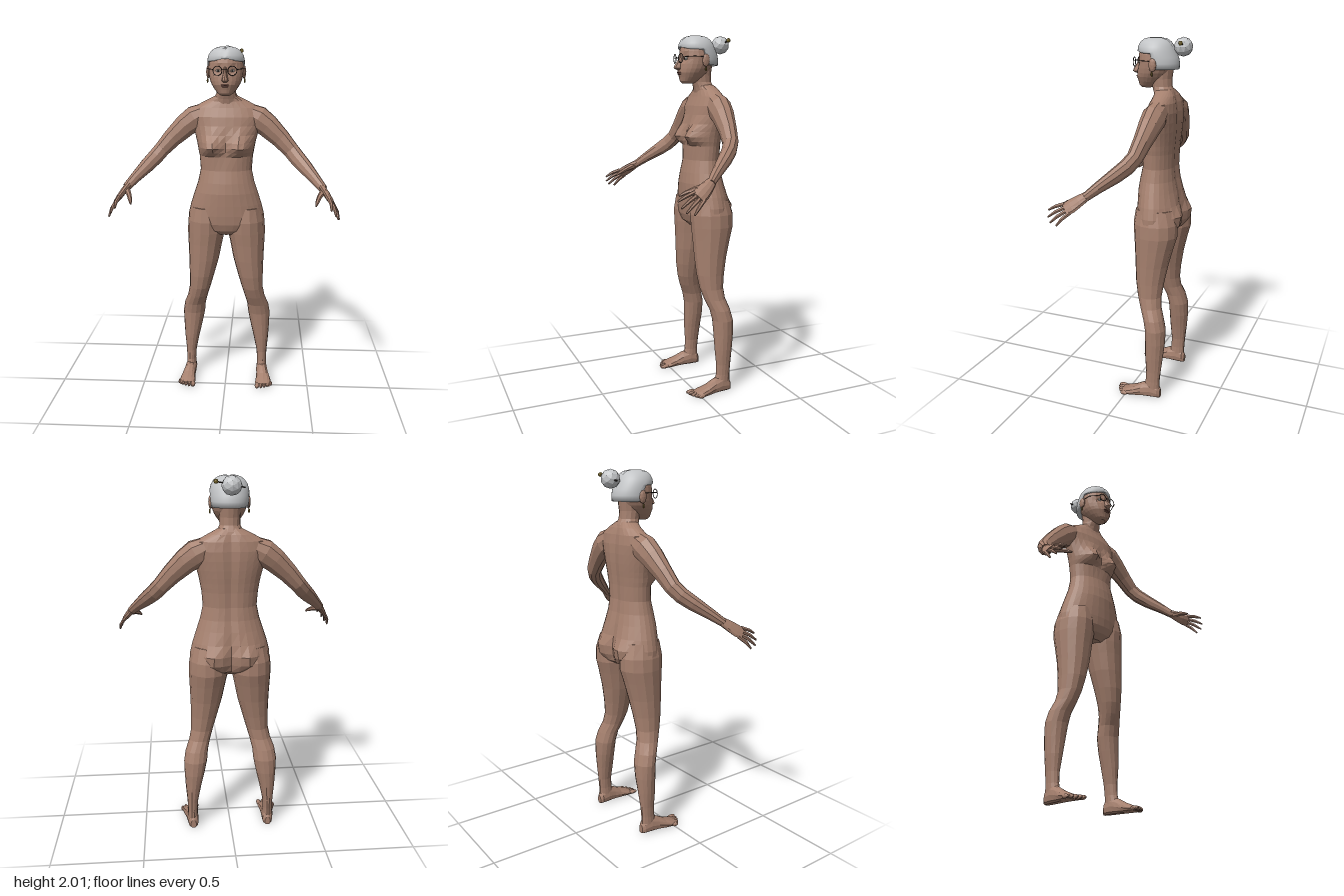
import * as THREE from 'three';

const mat = (name, color, flatShading = true) => {
  const m = new THREE.MeshStandardMaterial({ color, flatShading });
  m.name = name;
  return m;
};
const V = (x, y, z) => new THREE.Vector3(x, y, z);

// Skin over rings { c, u, v }: centre and two half-axes, advancing along u x v
function loft(name, material, rings, sides, deform) {
  const pos = [], idx = [], n = rings.length;
  rings.forEach(({ c, u, v }) => {
    for (let j = 0; j < sides; j++) {
      const a = (j / sides) * Math.PI * 2;
      const p = c.clone().addScaledVector(u, Math.cos(a)).addScaledVector(v, Math.sin(a));
      if (deform) deform(p, c);
      pos.push(p.x, p.y, p.z);
    }
  });
  for (const r of [rings[0], rings[n - 1]]) {
    const p = r.c.clone();
    if (deform) deform(p, r.c);
    pos.push(p.x, p.y, p.z);
  }
  for (let i = 0; i < n - 1; i++)
    for (let j = 0; j < sides; j++) {
      const k = (j + 1) % sides, a = i * sides, b = a + sides;
      idx.push(a + j, a + k, b + k, a + j, b + k, b + j);
    }
  for (let j = 0; j < sides; j++) {
    const k = (j + 1) % sides, e = (n - 1) * sides;
    idx.push(n * sides, k, j, n * sides + 1, e + j, e + k);
  }
  let g = new THREE.BufferGeometry();
  g.setAttribute('position', new THREE.Float32BufferAttribute(pos, 3));
  g.setIndex(idx);
  if (material.flatShading) g = g.toNonIndexed();
  g.computeVertexNormals();
  const mesh = new THREE.Mesh(g, material);
  mesh.name = name;
  return mesh;
}

// Level rings, listed from top to bottom: [y, half width, front z, back z, centre x]
const level = (rows, s = 1) => rows.map(([y, rx, f, b, x = 0]) => ({
  c: V(x * s, y, (f + b) / 2), u: V(rx, 0, 0), v: V(0, 0, (f - b) / 2),
}));

// Rings along a path: [x, y, z, radius along ref, radius across]
function along(rows, s = 1, ref = V(0, 0, 1)) {
  const p = rows.map(r => V(r[0] * s, r[1], r[2]));
  const side = V(ref.x * s, ref.y, ref.z);
  return rows.map((r, i) => {
    const w = p[Math.min(i + 1, p.length - 1)].clone().sub(p[Math.max(i - 1, 0)]).normalize();
    const u = side.clone().addScaledVector(w, -side.dot(w)).normalize();
    const v = w.clone().cross(u);
    return { c: p[i], u: u.multiplyScalar(r[3]), v: v.multiplyScalar(r[4] ?? r[3]) };
  });
}

function ball(name, material, [x, y, z], [sx, sy, sz], detail = 1) {
  const m = new THREE.Mesh(new THREE.IcosahedronGeometry(1, detail), material);
  m.name = name;
  m.position.set(x, y, z);
  m.scale.set(sx, sy, sz);
  return m;
}

const hill = (d, w) => Math.exp(-(d * d) / (w * w));

export function createModel() {
  const skin = mat('skin', 0xa5806e), hair = mat('grey hair', 0xc2c4c6, false);
  const bunHair = mat('bun hair', 0xc6c8ca), dark = mat('dark frame', 0x2c2522);
  const gold = mat('gold', 0x7c6a2c), lip = mat('lips', 0x84584e), white = mat('eye white', 0xcfc8c0);
  const model = new THREE.Group();
  model.name = 'figure';
  const add = (...m) => model.add(...m);

  // Torso
  add(loft('torso', skin, level([
    [1.735, 0.06, -0.075, -0.185], [1.705, 0.12, -0.08, -0.2], [1.67, 0.185, -0.07, -0.21],
    [1.62, 0.205, -0.05, -0.217], [1.57, 0.19, -0.04, -0.218], [1.52, 0.178, -0.032, -0.216],
    [1.48, 0.168, -0.028, -0.213], [1.45, 0.162, -0.026, -0.21], [1.425, 0.158, -0.026, -0.208],
    [1.4, 0.153, -0.026, -0.206], [1.32, 0.147, -0.02, -0.204], [1.25, 0.162, -0.005, -0.212],
    [1.19, 0.182, 0.003, -0.225], [1.12, 0.205, 0.003, -0.235], [1.06, 0.22, 0.002, -0.24],
    [1.01, 0.222, -0.002, -0.235], [0.97, 0.17, -0.015, -0.225], [0.94, 0.07, -0.05, -0.18],
  ]), 28, (p, c) => {
    const x = Math.abs(p.x);
    if (p.z > c.z) p.z += 0.06 * hill(x - 0.085, 0.055) * hill(p.y - 1.445, p.y > 1.445 ? 0.065 : 0.03);
    else p.z -= 0.04 * hill(x - 0.1, 0.07) * hill(p.y - 1.04, 0.07) - 0.012 * hill(x, 0.03);
  }));

  // Neck and head
  add(loft('neck', skin, level([
    [1.84, 0.06, -0.045, -0.175], [1.79, 0.056, -0.05, -0.168], [1.75, 0.055, -0.06, -0.17],
    [1.72, 0.068, -0.07, -0.185], [1.67, 0.09, -0.08, -0.2],
  ]), 14));
  add(loft('head', skin, level([
    [1.985, 0.045, -0.03, -0.13], [1.95, 0.082, 0.002, -0.165], [1.915, 0.094, 0.013, -0.175],
    [1.89, 0.097, 0.016, -0.178], [1.87, 0.096, 0.016, -0.178], [1.845, 0.093, 0.02, -0.172],
    [1.82, 0.087, 0.023, -0.16], [1.8, 0.078, 0.025, -0.145], [1.775, 0.062, 0.018, -0.12],
    [1.755, 0.045, 0.014, -0.09], [1.742, 0.026, 0.0, -0.06],
  ]), 22, (p, c) => {
    if (p.z > c.z) p.z -= 0.012 * hill(Math.abs(p.x) - 0.038, 0.02) * hill(p.y - 1.875, 0.02);
  }));
  add(loft('nose', skin, level([
    [1.895, 0.008, 0.02, -0.01], [1.865, 0.01, 0.032, -0.01], [1.835, 0.016, 0.052, 0],
    [1.824, 0.019, 0.055, 0], [1.815, 0.012, 0.038, 0],
  ]), 8));
  add(ball('upperLip', lip, [0, 1.801, 0.023], [0.024, 0.004, 0.008]));
  add(ball('lowerLip', lip, [0, 1.793, 0.021], [0.02, 0.005, 0.008]));

  // Hair cap with a centre parting, short at the front and long at the nape
  add(loft('hair', hair, level([
    [2.0, 0.03, -0.04, -0.11], [1.993, 0.058, -0.014, -0.14], [1.978, 0.08, 0.006, -0.16],
    [1.955, 0.096, 0.017, -0.175], [1.932, 0.102, 0.02, -0.185], [1.9, 0.103, 0.012, -0.2],
    [1.87, 0.101, 0.008, -0.207], [1.84, 0.098, 0.005, -0.205],
  ]), 36, (p) => {
    if (p.z > -0.095) p.y = Math.max(p.y, 1.922 + 0.016 * hill(p.x, 0.05));
    if (p.y > 1.95 && Math.abs(p.x) < 0.01) p.y -= 0.007;
  }));
  add(ball('hairBun', bunHair, [0, 1.955, -0.23], [0.053, 0.05, 0.05]));
  add(loft('hairPin', dark, along([[-0.068, 1.945, -0.235, 0.004], [0.078, 1.975, -0.24, 0.004]]), 6));
  add(ball('hairPinBead', gold, [0.08, 1.976, -0.24], [0.012, 0.012, 0.012]));

  // Glasses bridge
  add(loft('glassesBridge', dark, along([[-0.016, 1.882, 0.034, 0.002], [0.016, 1.882, 0.034, 0.002]]), 5));

  for (const s of [1, -1]) {
    const side = s > 0 ? 'left' : 'right';
    const name = part => side + part;

    // Eyes, glasses, ears and earrings
    add(ball(name('Eye'), white, [0.038 * s, 1.875, -0.003], [0.014, 0.008, 0.01]));
    add(ball(name('Iris'), dark, [0.038 * s, 1.875, 0.005], [0.005, 0.006, 0.004]));
    const rim = new THREE.Mesh(new THREE.TorusGeometry(0.024, 0.0022, 5, 18), dark);
    rim.name = name('GlassesRim');
    rim.position.set(0.04 * s, 1.876, 0.03);
    rim.rotation.y = 0.15 * s;
    add(rim);
    add(loft(name('GlassesTemple'), dark, along([
      [0.064, 1.882, 0.026, 0.002], [0.1, 1.885, -0.03, 0.002], [0.104, 1.882, -0.1, 0.002],
    ], s, V(0, 1, 0)), 5));
    add(ball(name('Ear'), skin, [0.099 * s, 1.865, -0.095], [0.012, 0.036, 0.022]));
    add(ball(name('Earring'), gold, [0.103 * s, 1.818, -0.093], [0.005, 0.013, 0.005]));

    // Arm
    add(loft(name('Arm'), skin, along([
      [0.12, 1.635, -0.14, 0.055, 0.06], [0.18, 1.605, -0.138, 0.064, 0.075],
      [0.235, 1.565, -0.133, 0.058, 0.068], [0.31, 1.495, -0.122, 0.046, 0.056],
      [0.37, 1.43, -0.108, 0.041, 0.047], [0.405, 1.39, -0.08, 0.04, 0.046],
      [0.445, 1.35, -0.035, 0.037, 0.042], [0.5, 1.295, 0.035, 0.028, 0.031],
      [0.542, 1.25, 0.088, 0.021, 0.024],
    ], s), 10));

    // Hand with fan of fingers
    const across = V(0.045, -0.06, -0.07).normalize();
    add(loft(name('Palm'), skin, along([
      [0.535, 1.258, 0.08, 0.025, 0.018], [0.555, 1.233, 0.115, 0.034, 0.018],
      [0.572, 1.208, 0.15, 0.04, 0.016], [0.585, 1.19, 0.178, 0.036, 0.012],
    ], s, across), 10));
    const tips = [[0.572, 1.175, 0.278], [0.597, 1.145, 0.27], [0.612, 1.122, 0.25], [0.62, 1.112, 0.212]];
    tips.forEach((t, i) => {
      const b = V(0.58, 1.197, 0.168).addScaledVector(across, -0.03 + 0.02 * i);
      const m = b.clone().lerp(V(...t), 0.55).add(V(0.004, 0.005, 0));
      add(loft(name('Finger' + (i + 1)), skin, along([
        [b.x, b.y, b.z, 0.011], [m.x, m.y, m.z, 0.0095], [...t, 0.005],
      ], s, across), 6));
    });
    add(loft(name('Thumb'), skin, along([
      [0.54, 1.24, 0.105, 0.018], [0.515, 1.222, 0.165, 0.013],
      [0.503, 1.205, 0.205, 0.011], [0.494, 1.19, 0.237, 0.005],
    ], s), 6));

    // Leg
    add(loft(name('Leg'), skin, level([
      [1.1, 0.085, -0.015, -0.225, 0.118], [1.02, 0.108, -0.002, -0.25, 0.117],
      [0.95, 0.11, -0.006, -0.25, 0.119], [0.88, 0.101, -0.012, -0.23, 0.125],
      [0.78, 0.089, -0.018, -0.205, 0.133], [0.68, 0.074, -0.026, -0.187, 0.146],
      [0.6, 0.063, -0.04, -0.177, 0.158], [0.54, 0.06, -0.06, -0.182, 0.173],
      [0.48, 0.064, -0.086, -0.203, 0.192], [0.42, 0.066, -0.1, -0.218, 0.2],
      [0.34, 0.057, -0.104, -0.218, 0.207], [0.25, 0.044, -0.107, -0.21, 0.215],
      [0.16, 0.031, -0.114, -0.2, 0.22], [0.1, 0.028, -0.112, -0.195, 0.221],
      [0.05, 0.03, -0.1, -0.195, 0.221],
    ], s), 14));

    // Foot, flat underneath
    const foot = [
      [-0.2, 0.016, 0.05, 0.219], [-0.185, 0.029, 0.075, 0.219], [-0.14, 0.034, 0.095, 0.222],
      [-0.095, 0.036, 0.078, 0.226], [-0.05, 0.043, 0.053, 0.231], [-0.005, 0.049, 0.035, 0.233],
      [0.025, 0.046, 0.022, 0.232],
    ].map(([z, rx, top, x]) => ({ c: V(x * s, top * 0.4, z), u: V(rx, 0, 0), v: V(0, top * 0.6, 0) }));
    add(loft(name('Foot'), skin, foot, 12, p => { p.y = Math.max(p.y, 0); }));
    for (let i = 0; i < 5; i++) {
      const r = i ? 0.0095 : 0.014;
      add(ball(name('Toe' + (i + 1)), skin,
        [(0.198 + 0.02 * i - (i ? 0 : 0.003)) * s, 0.012, 0.036 - 0.0025 * i * i * 0.8], [r, 0.012, 0.03 - 0.002 * i]));
    }
  }
  return model;
}
